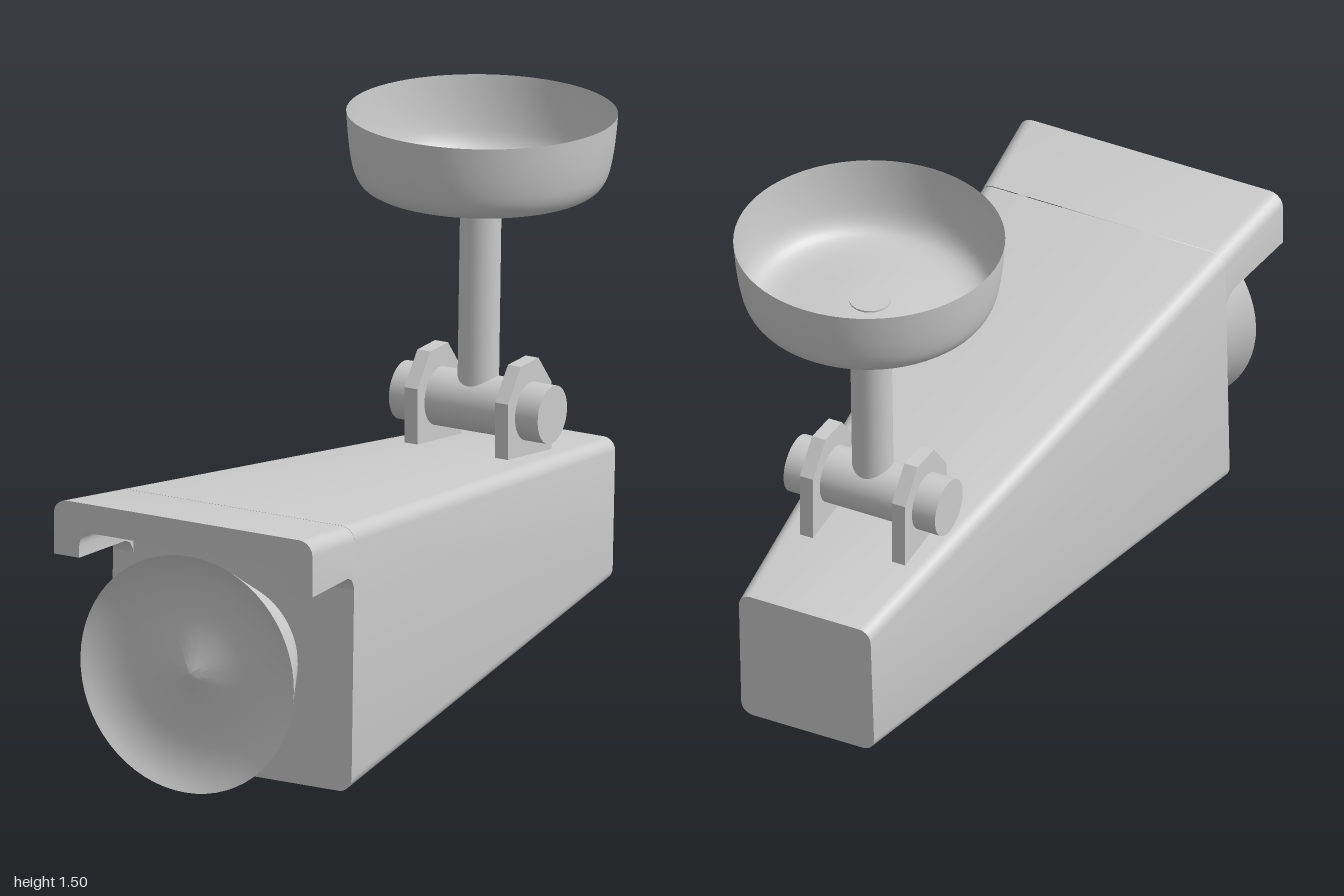
import * as THREE from 'three';
import { toCreasedNormals } from 'three/addons/utils/BufferGeometryUtils.js';

const material = new THREE.MeshStandardMaterial({ color: 0xcccccc });
const openMaterial = new THREE.MeshStandardMaterial({ color: 0xcccccc, side: THREE.DoubleSide });

// Tapered housing envelope along z
const halfWidth = (z) => 0.3 + 0.1 * z;
const topY = (z) => 0.643 + 0.142 * z;
const bottomY = (z) => 0.048 - 0.058 * z;

function addMesh(parent, name, geometry, mat = material) {
  const mesh = new THREE.Mesh(geometry, mat);
  mesh.name = name;
  parent.add(mesh);
  return mesh;
}

// Points of a quarter-turn corner around (cx, cy)
function corner(cx, cy, r, from, to) {
  return Array.from({ length: 6 }, (_, i) => {
    const a = (from + ((to - from) * i) / 5) * Math.PI / 2;
    return new THREE.Vector2(cx + r * Math.cos(a), cy + r * Math.sin(a));
  });
}

// Skins rings (back to front, counter-clockwise seen from the front)
function loft(rings, capBack, capFront) {
  const n = rings[0].length;
  const index = [];
  for (let k = 0; k < rings.length - 1; k++) {
    for (let i = 0; i < n; i++) {
      const j = (i + 1) % n;
      const a = k * n + i, b = k * n + j;
      index.push(a, b, b + n, a, b + n, a + n);
    }
  }
  const cap = (k, flip) => {
    const flat = rings[k].map((p) => new THREE.Vector2(p.x, p.y));
    for (const [a, b, c] of THREE.ShapeUtils.triangulateShape(flat, [])) {
      index.push(k * n + a, k * n + (flip ? c : b), k * n + (flip ? b : c));
    }
  };
  if (capBack) cap(0, true);
  if (capFront) cap(rings.length - 1, false);
  const geometry = new THREE.BufferGeometry().setFromPoints(rings.flat());
  geometry.setIndex(index);
  return toCreasedNormals(geometry, 0.5);
}

// Rounded rectangle on a slightly leaning end plane
function housingRing(zTop, zBottom, r) {
  const yt = topY(zTop), yb = bottomY(zBottom);
  const w = halfWidth((zTop + zBottom) / 2);
  const points = [
    ...corner(w - r, yb + r, r, -1, 0), ...corner(w - r, yt - r, r, 0, 1),
    ...corner(r - w, yt - r, r, 1, 2), ...corner(r - w, yb + r, r, 2, 3),
  ];
  return points.map((p) => {
    const z = THREE.MathUtils.lerp(zBottom, zTop, (p.y - yb) / (yt - yb));
    return new THREE.Vector3(p.x * halfWidth(z) / w, p.y, z);
  });
}

// Upside-down U section of the hood
function hoodRing(z, yb) {
  const w = halfWidth(z), yt = topY(z), r = 0.04;
  const wi = 0.31 + 0.04 * (z - 0.72), yi = 0.69 + 0.05 * (z - 0.72);
  const points = [
    new THREE.Vector2(w, yb),
    ...corner(w - r, yt - r, r, 0, 1), ...corner(r - w, yt - r, r, 1, 2),
    new THREE.Vector2(-w, yb), new THREE.Vector2(-wi, yb),
    ...corner(r - wi, yi - r, r, 2, 1), ...corner(wi - r, yi - r, r, 1, 0),
    new THREE.Vector2(wi, yb),
  ];
  return points.map((p) => new THREE.Vector3(p.x, p.y, z));
}

function lathe(points) {
  return new THREE.LatheGeometry(points.map(([r, y]) => new THREE.Vector2(r, y)), 64);
}

export function createModel() {
  const model = new THREE.Group();
  model.name = 'securityCamera';

  // Housing and the hood that overhangs its front
  addMesh(model, 'housing', loft([housingRing(-1, -0.98, 0.035), housingRing(0.72, 0.743, 0.04)], true, true));
  const hoodStations = [[0.722, 0.555], [0.728, 0.585], [0.742, 0.604], [0.765, 0.615], [1, 0.63]];
  addMesh(model, 'hood', loft(hoodStations.map(([z, y]) => hoodRing(z, y)), false, true));

  // Flared lens with a shallow ring-shaped hollow
  const face = new THREE.CubicBezierCurve(
    new THREE.Vector2(0.33, 0), new THREE.Vector2(0.24, -0.07),
    new THREE.Vector2(0.1, -0.05), new THREE.Vector2(0.0001, -0.01),
  ).getPoints(16).map((p) => [p.x, p.y]);
  const lens = addMesh(model, 'lens', toCreasedNormals(lathe([[0.19, -0.27], ...face]), 0.6));
  lens.geometry.rotateX(Math.PI / 2);
  lens.position.set(0, 0.345, 0.978);
  lens.rotation.x = -0.033;

  // Hinge: two chamfered lugs and a pin through them
  const hinge = new THREE.Group();
  hinge.name = 'hinge';
  hinge.position.set(0, 0.68, -0.604);
  model.add(hinge);
  const lugShape = new THREE.Shape([
    [-0.119, -0.16], [0.119, -0.16], [0.119, 0.05], [0.048, 0.137], [-0.048, 0.137], [-0.119, 0.05],
  ].map(([x, y]) => new THREE.Vector2(x, y)));
  for (const side of [-1, 1]) {
    const lug = new THREE.ExtrudeGeometry(lugShape, { depth: 0.04, bevelEnabled: false });
    lug.translate(0, 0, -0.02).rotateY(Math.PI / 2);
    addMesh(hinge, side > 0 ? 'leftLug' : 'rightLug', lug).position.x = side * 0.14;
  }
  addMesh(hinge, 'hingePin', new THREE.CylinderGeometry(0.08, 0.08, 0.46, 48).rotateZ(Math.PI / 2));

  // Arm and ceiling cup lean back slightly about the hinge
  const mount = new THREE.Group();
  mount.name = 'mount';
  mount.rotation.x = -0.028;
  hinge.add(mount);
  addMesh(mount, 'arm', new THREE.CylinderGeometry(0.056, 0.056, 0.615, 32)).position.y = 0.3075;
  const cupWall = new THREE.SplineCurve([
    [0.0001, 0.612], [0.1, 0.608], [0.2, 0.598], [0.27, 0.594], [0.315, 0.607],
    [0.34, 0.64], [0.353, 0.69], [0.361, 0.75], [0.366, 0.812],
  ].map(([r, y]) => new THREE.Vector2(r, y)));
  addMesh(mount, 'ceilingCup', lathe(cupWall.getPoints(28).map((p) => [Math.max(p.x, 0.0001), p.y])), openMaterial);

  return model;
}
